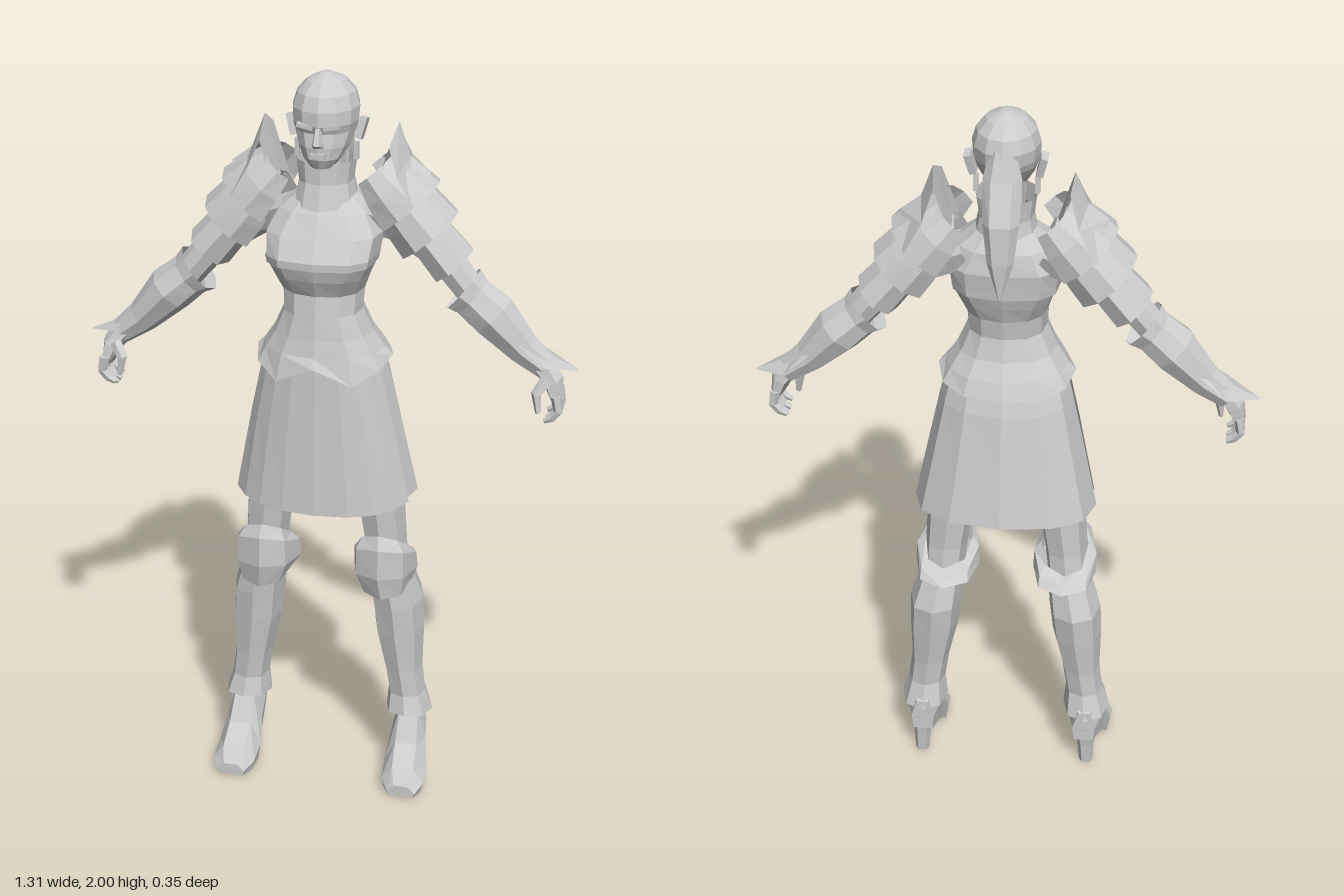
import * as THREE from 'three';

const grey = new THREE.MeshStandardMaterial({ color: 0xcccccc, flatShading: true, side: THREE.DoubleSide });
grey.name = 'plain grey';

// Skin a list of equal-length point rows; s = -1 mirrors in x.
function loft(rows, { closed = true, cap = false, s = 1 } = {}) {
  const n = rows[0].length, pos = [], idx = [];
  rows.forEach(r => r.forEach(p => pos.push(p[0] * s, p[1], p[2])));
  for (let i = 0; i < rows.length - 1; i++)
    for (let j = 0; j < (closed ? n : n - 1); j++) {
      const a = i * n + j, b = i * n + (j + 1) % n;
      idx.push(a, b, a + n, b, b + n, a + n);
    }
  if (cap) {
    const e = (rows.length - 1) * n;
    for (let j = 1; j < n - 1; j++) idx.push(0, j + 1, j, e, e + j, e + j + 1);
  }
  // turn every face outward
  const P = k => new THREE.Vector3().fromArray(pos, k * 3);
  const mid = new THREE.Vector3();
  for (let k = 0; k < pos.length / 3; k++) mid.addScaledVector(P(k), 3 / pos.length);
  let vol = 0;
  for (let k = 0; k < idx.length; k += 3)
    vol += P(idx[k]).sub(mid).dot(P(idx[k + 1]).sub(mid).cross(P(idx[k + 2]).sub(mid)));
  if (vol < 0) idx.reverse();
  const g = new THREE.BufferGeometry();
  g.setAttribute('position', new THREE.Float32BufferAttribute(pos, 3));
  g.setIndex(idx);
  g.computeVertexNormals();
  return g;
}

// Level ring: height, centre x, half width, front z, back z, tilt (front up), squareness power.
function ring([y, cx, rx, zf, zb, tilt = 0, p = 0.85], n = 12, from = 0, to = Math.PI * 2) {
  const full = to - from > 6, out = [];
  for (let i = 0; i < (full ? n : n + 1); i++) {
    const a = from + (to - from) * i / n, c = Math.cos(a), q = Math.sin(a);
    const f = v => Math.sign(v) * Math.abs(v) ** p;
    out.push([cx + rx * f(c), y + tilt * q, (zf + zb) / 2 + (zf - zb) / 2 * f(q)]);
  }
  return out;
}

// Rings square to a path in the xy plane: x, y, z, in-plane radius, z radius.
function limb(pts, n = 8, arc = Math.PI) {
  return pts.map(([x, y, z, ru, rv], i) => {
    const a = pts[Math.max(0, i - 1)], b = pts[Math.min(pts.length - 1, i + 1)];
    const l = Math.hypot(b[0] - a[0], b[1] - a[1]), ux = -(b[1] - a[1]) / l, uy = (b[0] - a[0]) / l;
    const open = arc < Math.PI;
    return Array.from({ length: open ? n + 1 : n }, (_, j) => {
      const t = -arc + 2 * arc * j / n, u = ru * Math.cos(t);
      return [x + ux * u, y + uy * u, z + rv * Math.sin(t)];
    });
  });
}

export function createModel() {
  const model = new THREE.Group();
  const add = (name, geo, parent = model) => {
    const m = new THREE.Mesh(geo, grey);
    m.name = name;
    parent.add(m);
    return m;
  };
  const box = (name, w, h, d, x, y, z, parent, rx = 0, rz = 0) => {
    const m = add(name, new THREE.BoxGeometry(w, h, d), parent);
    m.position.set(x, y, z);
    m.rotation.set(rx, 0, rz);
  };

  // Head and face
  const head = new THREE.Group();
  head.name = 'head';
  model.add(head);
  add('skull', loft([
    [1.775, 0, 0.028, 0.095, 0.03], [1.8, 0, 0.05, 0.108, 0], [1.83, 0, 0.066, 0.11, -0.04],
    [1.865, 0, 0.078, 0.104, -0.07], [1.885, 0, 0.083, 0.114, -0.082], [1.92, 0, 0.085, 0.112, -0.088],
    [1.955, 0, 0.074, 0.097, -0.078], [1.982, 0, 0.05, 0.07, -0.05], [2, 0, 0.012, 0.025, -0.005],
  ].map(r => ring([...r, 0, 1])), { cap: true }), head);
  add('nose', loft([
    [1.885, 0, 0.008, 0.113, 0.09], [1.843, 0, 0.013, 0.134, 0.09], [1.833, 0, 0.016, 0.118, 0.09],
  ].map(r => ring(r, 6)), { cap: true }), head);
  box('lips', 0.036, 0.012, 0.02, 0, 1.812, 0.104, head);
  for (const s of [1, -1]) {
    box('brow', 0.042, 0.01, 0.02, s * 0.034, 1.884, 0.099, head, 0, s * 0.2);
    box('ear', 0.018, 0.055, 0.035, s * 0.088, 1.862, 0.005, head, -0.2, -s * 0.25);
    box('earring', 0.012, 0.045, 0.012, s * 0.076, 1.805, 0.01, head);
  }
  add('neck', loft([ring([1.64, 0, 0.05, 0.055, -0.05]), ring([1.82, 0, 0.045, 0.06, -0.045])]), head);
  add('ponytail', loft([
    [1.93, 0, 0.03, -0.05, -0.086], [1.86, 0, 0.048, -0.055, -0.108], [1.76, 0, 0.045, -0.09, -0.152],
    [1.66, 0, 0.033, -0.115, -0.155], [1.565, 0, 0.004, -0.14, -0.148],
  ].map(r => ring(r, 6)), { cap: true }), head);

  // Collar, bodice and peplum
  add('collar', loft([
    [1.785, 0, 0.077, 0.082, -0.07], [1.73, 0, 0.07, 0.084, -0.068], [1.66, 0, 0.085, 0.105, -0.085],
  ].map(r => ring(r))));
  add('bodice', loft([
    [1.7, 0, 0.072, 0.075, -0.07], [1.66, 0, 0.125, 0.108, -0.1], [1.605, 0, 0.152, 0.14, -0.108, 0, 0.7],
    [1.545, 0, 0.142, 0.175, -0.1, 0, 0.65], [1.5, 0, 0.122, 0.16, -0.085, 0, 0.7], [1.455, 0, 0.106, 0.138, -0.068],
    [1.4, 0, 0.103, 0.145, -0.06], [1.34, 0, 0.13, 0.152, -0.075],
  ].map(r => ring(r))));
  const hem = ring([1.25, 0, 0.18, 0.175, -0.118]);
  hem.forEach((p, i) => { p[1] += [0.025, 0.005, -0.025, 0.02, -0.025, 0.005, 0.025, 0.01, 0, 0, 0, 0.01][i]; });
  add('peplum', loft([ring([1.34, 0, 0.13, 0.152, -0.075]), ring([1.295, 0, 0.16, 0.16, -0.1]), hem]));
  add('breastBand', loft([
    ring([1.555, 0, 0.145, 0.179, -0.102, 0, 0.65]), ring([1.535, 0, 0.141, 0.178, -0.1, 0, 0.65]),
  ]));

  // Skirt with an overlapping front panel
  add('skirt', loft([
    [1.3, 0, 0.15, 0.145, -0.09], [1.2, 0, 0.175, 0.147, -0.118], [1.05, 0, 0.208, 0.15, -0.143],
    [0.875, 0, 0.245, 0.15, -0.172, -0.014],
  ].map(r => ring(r))));
  add('skirtFrontPanel', loft([
    [1.28, 0, 0.158, 0.152, -0.09], [1.1, 0, 0.2, 0.156, -0.135], [0.88, 0, 0.247, 0.162, -0.165, -0.03],
  ].map(r => ring(r, 8, 0.35, Math.PI - 0.35)), { closed: false }));

  for (const s of [1, -1]) {
    const side = s > 0 ? 'left' : 'right';
    // Leg, knee guard and boot
    const leg = new THREE.Group();
    leg.name = side + 'Leg';
    model.add(leg);
    const stack = (name, rows, n = 8, cap = false) => add(name, loft(rows.map(r => ring(r, n)), { cap, s }), leg);
    stack('thigh', [
      [1.1, 0.1, 0.085, 0.1, -0.08], [0.86, 0.15, 0.065, 0.095, -0.065], [0.72, 0.165, 0.058, 0.08, -0.06],
      [0.6, 0.175, 0.055, 0.075, -0.07],
    ]);
    stack('kneeGuard', [
      [0.72, 0.16, 0.065, 0.1, -0.06, 0.055], [0.695, 0.163, 0.086, 0.118, -0.095, 0.045],
      [0.645, 0.163, 0.088, 0.12, -0.118, 0.008], [0.61, 0.17, 0.068, 0.105, -0.08, -0.025],
    ]);
    stack('shin', [
      [0.64, 0.175, 0.06, 0.08, -0.085], [0.54, 0.195, 0.071, 0.074, -0.112], [0.45, 0.202, 0.068, 0.065, -0.1],
      [0.33, 0.215, 0.053, 0.052, -0.083], [0.25, 0.226, 0.052, 0.046, -0.078], [0.185, 0.233, 0.065, 0.06, -0.097, 0.012],
    ]);
    add('boot', loft([
      [0.165, 0.04, 0, 0.035], [0.13, 0.06, 0, 0.072], [0.07, 0.06, 0, 0.115],
      [0.02, 0.05, 0.045, 0.2], [-0.03, 0.045, 0.08, 0.23], [-0.092, 0.032, 0.1, 0.2],
    ].map(([z, w, lo, hi]) => {
      const cx = 0.237 + 0.05 * z, m = lo + (hi - lo) * 0.45;
      return [[-0.85, lo], [0.85, lo], [1, m], [0.5, hi], [-0.5, hi], [-1, m]].map(([k, y]) => [cx + k * w, y, z]);
    }), { cap: true, s }), leg);
    stack('bootHeel', [[0.14, 0.235, 0.036, -0.02, -0.097], [0.07, 0.238, 0.024, -0.035, -0.085], [0, 0.24, 0.02, -0.042, -0.077]], 6, true);

    // Arm
    const arm = new THREE.Group();
    arm.name = side + 'Arm';
    model.add(arm);
    const tube = (name, pts, n = 8, cap = false) => add(name, loft(limb(pts, n), { cap, s }), arm);
    tube('upperArm', [
      [0.1, 1.66, -0.02, 0.075, 0.075], [0.2, 1.62, -0.03, 0.07, 0.07], [0.3, 1.53, -0.025, 0.045, 0.045],
      [0.4, 1.41, -0.02, 0.04, 0.042],
    ]);
    tube('gauntlet', [
      [0.35, 1.45, -0.02, 0.07, 0.064], [0.375, 1.43, -0.02, 0.06, 0.058], [0.43, 1.385, -0.022, 0.064, 0.07],
      [0.51, 1.3, -0.022, 0.045, 0.048], [0.575, 1.25, -0.02, 0.034, 0.036],
    ]);
    add('wristFin', loft([
      [[0.45, 1.365, -0.055], [0.46, 1.378, -0.022], [0.45, 1.365, 0.015]],
      [[0.57, 1.275, -0.09], [0.55, 1.3, -0.025], [0.57, 1.275, 0.043]],
      [[0.655, 1.25, -0.03], [0.655, 1.252, -0.026], [0.655, 1.25, -0.022]],
    ], { closed: false, s }), arm);
    tube('palm', [[0.56, 1.265, -0.015, 0.03, 0.033], [0.592, 1.225, -0.01, 0.028, 0.044], [0.608, 1.175, -0.005, 0.017, 0.046]], 6, true);
    for (let i = 0; i < 4; i++) {
      const z = -0.042 + i * 0.025, k = i % 3 ? 0 : 0.01;
      tube('finger', [[0.606, 1.195, z, 0.014, 0.013], [0.613, 1.155, z, 0.013, 0.013], [0.597, 1.125 + k, z, 0.011, 0.011], [0.578, 1.115 + k, z, 0.006, 0.008]], 5, true);
    }
    tube('thumb', [[0.58, 1.235, 0.015, 0.018, 0.017], [0.555, 1.2, 0.035, 0.014, 0.014], [0.562, 1.15, 0.04, 0.007, 0.008]], 5, true);

    // Layered shoulder plates along the arm axis
    const plate = (name, arc, ...rows) => add(name, loft(
      limb(rows.map(([t, ru, rv]) => [0.14 + 0.65 * t, 1.72 - 0.76 * t, -0.036, ru, rv]), 8, arc),
      { closed: arc === Math.PI, s }), arm);
    plate('shoulderPlate', 2.1, [-0.04, 0.065, 0.1], [0.02, 0.09, 0.118], [0.09, 0.108, 0.122]);
    plate('middlePlate', 2.4, [0.05, 0.078, 0.1], [0.12, 0.088, 0.108], [0.18, 0.094, 0.112]);
    plate('lowerPlate', Math.PI, [0.14, 0.06, 0.075], [0.2, 0.06, 0.08], [0.28, 0.064, 0.086]);
    // Upright pointed wing beside the neck
    add('shoulderWing', loft([
      [[0.235, 1.68, -0.158], [0.258, 1.745, -0.036], [0.235, 1.68, 0.082]],
      [[0.19, 1.76, -0.14], [0.205, 1.785, -0.036], [0.19, 1.76, 0.07]],
      [[0.165, 1.835, -0.1], [0.173, 1.87, -0.045], [0.165, 1.825, 0.045]],
      [[0.12, 1.68, -0.11], [0.13, 1.72, -0.036], [0.12, 1.68, 0.065]],
    ], { closed: false, s }), arm);
  }
  return model;
}
